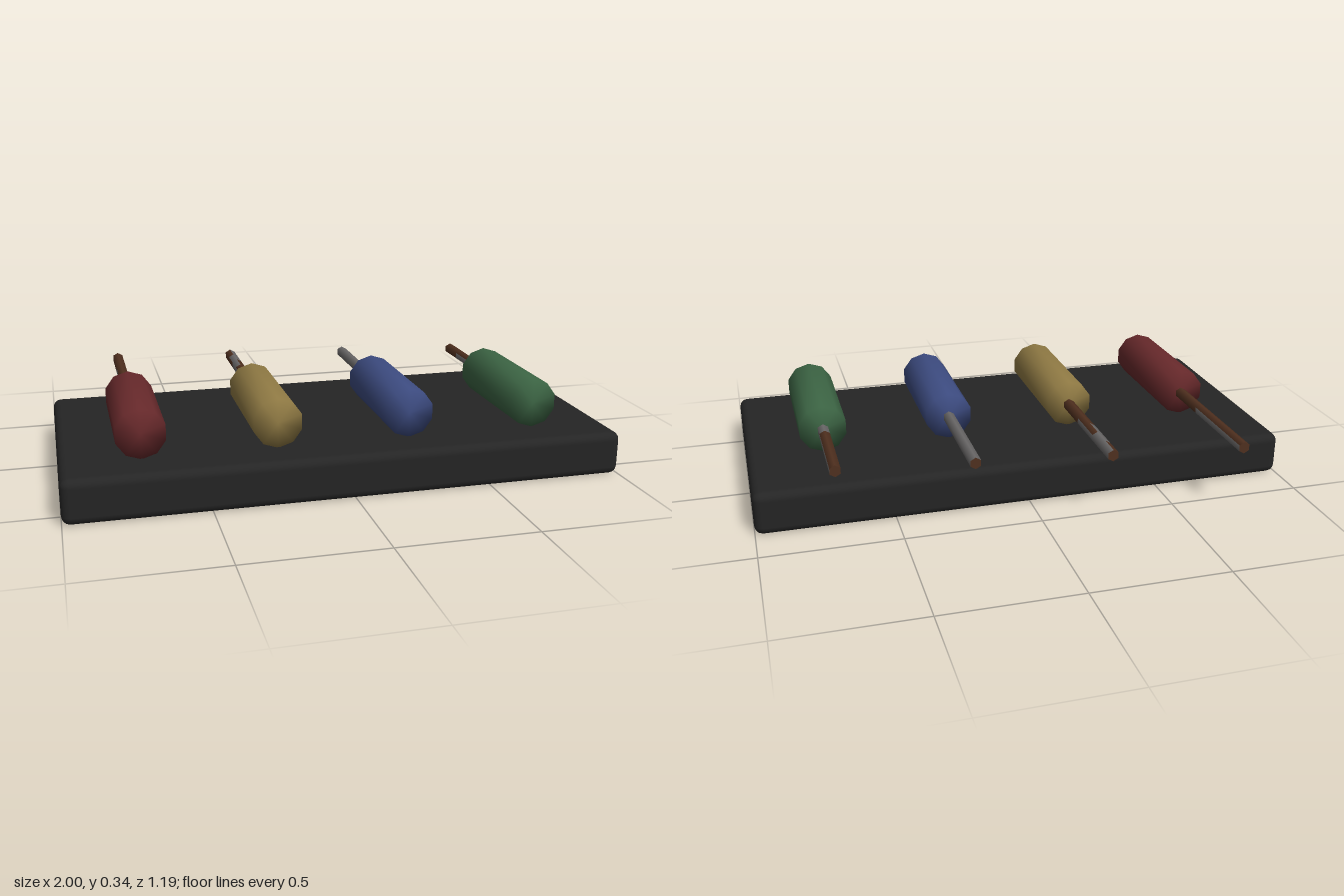
import * as THREE from 'three';
import { mergeVertices } from 'three/addons/utils/BufferGeometryUtils.js';
import { RoundedBoxGeometry } from 'three/addons/geometries/RoundedBoxGeometry.js';

const mat = (name, color) => {
  const m = new THREE.MeshStandardMaterial({ color });
  m.name = name;
  return m;
};

const HANDLE_BACK = -0.04, HANDLE_FRONT = 0.44, AXIS_Y = 0.248;

// Ten-sided handle whose normals are shared between sides and ends.
function handleGeometry() {
  let g = new THREE.CylinderGeometry(0.09, 0.09, HANDLE_FRONT - HANDLE_BACK, 10);
  g.rotateX(-Math.PI / 2);
  g.deleteAttribute('normal');
  g.deleteAttribute('uv');
  g = mergeVertices(g, 1e-4);
  g.computeVertexNormals();
  return g;
}

// Six-sided shaft; each string gives one facet's patches from tip to handle (r = rust).
function shaftGeometry(length, facets) {
  const rows = facets[0].length;
  const g = new THREE.CylinderGeometry(0.022, 0.022, length, 6, rows);
  g.rotateX(-Math.PI / 2);
  g.clearGroups();
  facets.forEach((facet, i) => {
    [...facet].forEach((c, j) => g.addGroup((i * rows + j) * 6, 6, c === 'r' ? 1 : 0));
  });
  g.addGroup(6 * rows * 6, 36, 1); // end caps
  return g;
}

export function createModel() {
  const model = new THREE.Group();
  const black = mat('black base', 0x252525);
  const steel = mat('worn steel', 0x6a6868);
  const rust = mat('rust', 0x50301f);

  // Rounded slab
  const base = new THREE.Mesh(new RoundedBoxGeometry(2, 0.16, 0.95, 2, 0.03), black);
  base.name = 'base';
  base.position.set(0, 0.08, 0.12);
  model.add(base);

  // Facets in order: upper left, left, lower left, lower right, right, upper right (left = +x)
  const tools = [
    { name: 'red', color: 0x692a2c, x: -0.72, tip: -0.6,
      facets: ['rrrrrr', 'ssssrr', 'ssssss', 'rsssss', 'rrsrrr', 'rrrrrr'] },
    { name: 'yellow', color: 0x927c45, x: -0.245, tip: -0.54,
      facets: ['ssrrrr', 'ssssrr', 'ssssss', 'rsssss', 'rrssrr', 'rssrrr'] },
    { name: 'blue', color: 0x3e4d83, x: 0.237, tip: -0.475,
      facets: ['ssssss', 'ssssss', 'ssssss', 'rrssss', 'ssssss', 'ssssss'] },
    { name: 'green', color: 0x3d6645, x: 0.715, tip: -0.41,
      facets: ['rrrrrs', 'ssssss', 'ssssss', 'rsssss', 'rrssss', 'rrrrrs'] },
  ];

  const handleGeo = handleGeometry();
  for (const t of tools) {
    const tool = new THREE.Group();
    tool.name = t.name + 'Tool';
    tool.position.set(t.x, AXIS_Y, 0);

    const handle = new THREE.Mesh(handleGeo, mat(t.name + ' handle', t.color));
    handle.name = 'handle';
    handle.position.z = (HANDLE_BACK + HANDLE_FRONT) / 2;

    const shaft = new THREE.Mesh(shaftGeometry(HANDLE_BACK - t.tip, t.facets), [steel, rust]);
    shaft.name = 'shaft';
    shaft.position.set(0, -0.003, (HANDLE_BACK + t.tip) / 2);

    tool.add(handle, shaft);
    model.add(tool);
  }
  return model;
}
